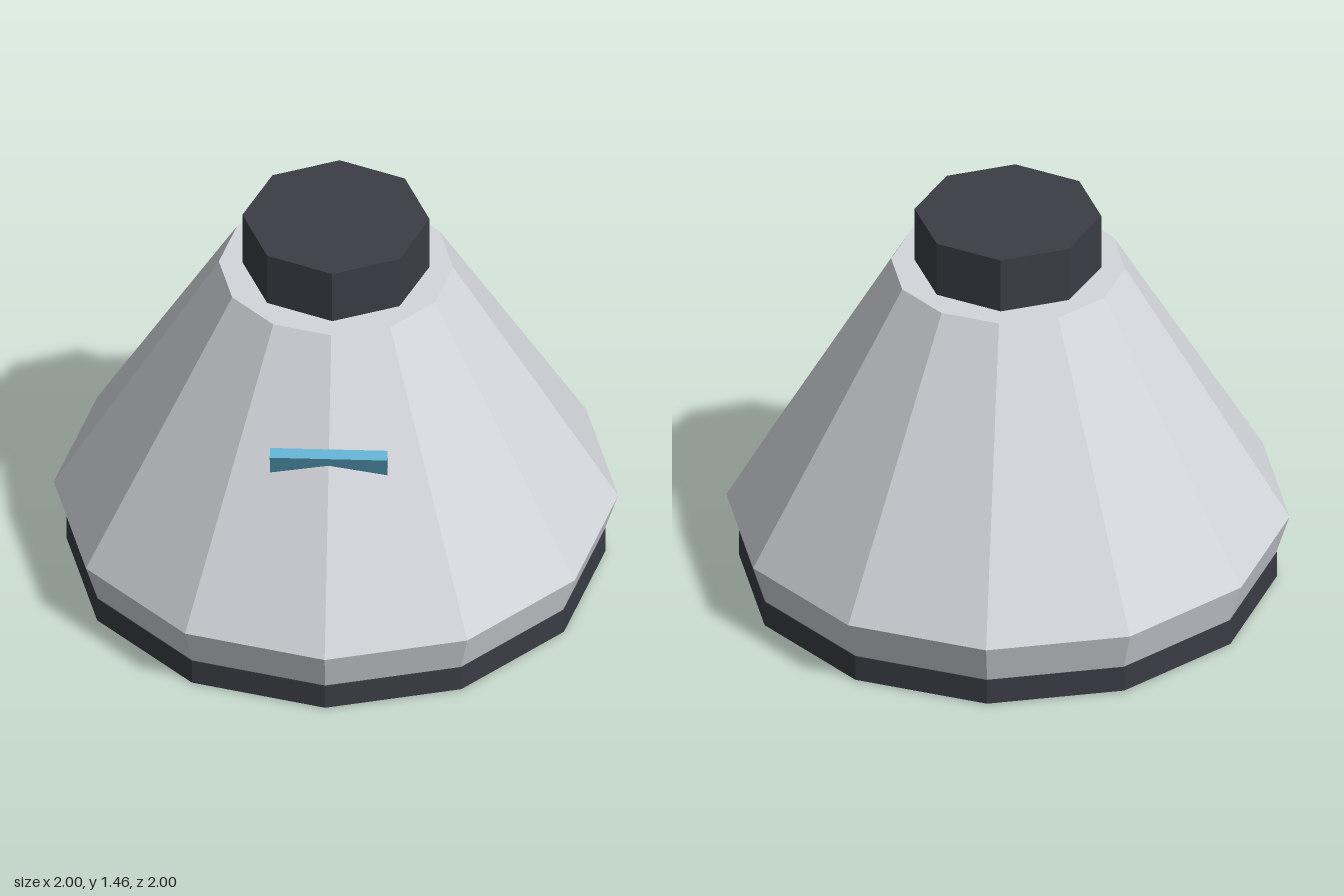
import * as THREE from 'three';

const paint = (color) => new THREE.MeshStandardMaterial({ color, flatShading: true });

export function createModel() {
  const model = new THREE.Group();
  const shellMat = paint(0xd4d6dc);
  const darkMat = paint(0x3b3d45);
  const visorMat = paint(0x62b2d2);

  // Faceted section between two heights
  function section(name, rTop, rBottom, y0, y1, sides, material) {
    const mesh = new THREE.Mesh(new THREE.CylinderGeometry(rTop, rBottom, y1 - y0, sides), material);
    mesh.position.y = (y0 + y1) / 2;
    mesh.name = name;
    model.add(mesh);
  }

  section('upperShell', 0.415, 1, 0.25, 1.25, 12, shellMat);
  section('lowerShell', 1, 0.92, 0, 0.25, 12, shellMat);
  // Raised a hair so its underside does not coincide with the shell's
  section('baseBand', 0.955, 0.955, 0.003, 0.1, 12, darkMat);
  section('topCap', 0.332, 0.332, 1.25, 1.46, 8, darkMat);

  // Notched visor, leaning outwards at the top
  const outline = new THREE.Shape([
    new THREE.Vector2(-0.208, 0),
    new THREE.Vector2(-0.208, -0.105),
    new THREE.Vector2(0, -0.047),
    new THREE.Vector2(0.208, -0.105),
    new THREE.Vector2(0.208, 0),
  ]);
  const visorGeo = new THREE.ExtrudeGeometry(outline, { depth: 0.04, bevelEnabled: false });
  visorGeo.translate(0, 0, -0.04);
  const visor = new THREE.Mesh(visorGeo, visorMat);
  visor.rotation.x = 0.4;
  visor.position.set(0, 0.893, 0.67);
  visor.name = 'visor';
  model.add(visor);

  return model;
}
